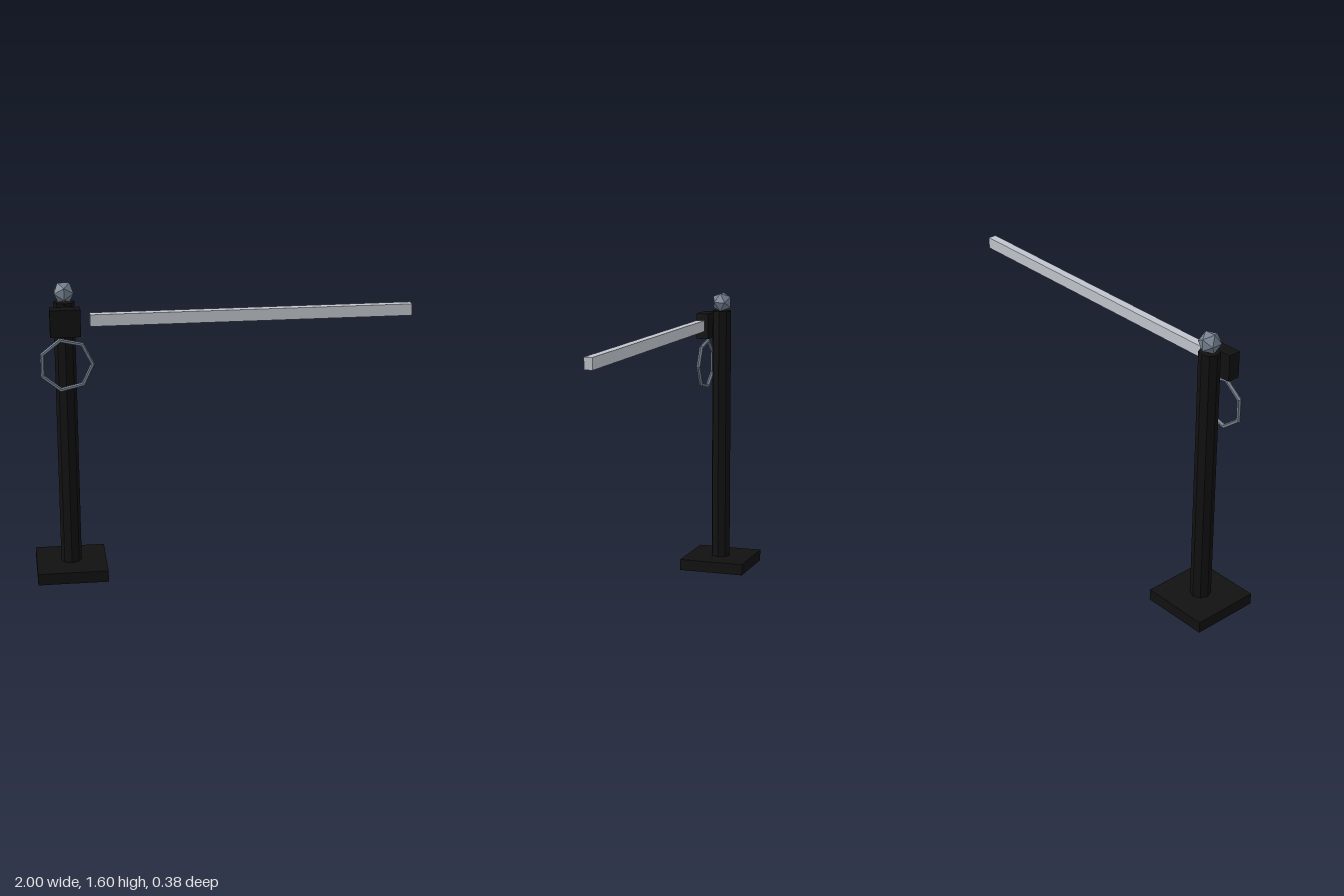
import * as THREE from 'three';

const mat = (name, color, flatShading = true) => {
  const m = new THREE.MeshStandardMaterial({ color, flatShading });
  m.name = name;
  return m;
};

export function createModel() {
  const group = new THREE.Group();
  const black = mat('black iron', 0x111111);
  const steel = mat('dark steel', 0x748090);
  const silver = mat('pale silver', 0xc0c4cc);
  const postX = -0.8125;

  const add = (name, geometry, material, x, y, z) => {
    const mesh = new THREE.Mesh(geometry, material);
    mesh.name = name;
    mesh.position.set(x, y, z);
    group.add(mesh);
    return mesh;
  };

  // Square foot and upright post
  add('base', new THREE.BoxGeometry(0.375, 0.063, 0.375), black, postX, 0.0315, 0);
  add('post', new THREE.CylinderGeometry(0.055, 0.055, 1.44, 8), black, postX, 0.78, 0);

  // Faceted ball on top
  add('finial', new THREE.IcosahedronGeometry(0.0595, 0), steel, postX, 1.549, 0);

  // Pivot housing on the front of the post, with the long arm beside it
  add('pivotBox', new THREE.BoxGeometry(0.157, 0.143, 0.069), black, postX, 1.414, 0.093);
  add('barrierArm', new THREE.BoxGeometry(1.685, 0.062, 0.045), silver, 0.1575, 1.422, 0.086);

  // Seven-sided ring hanging under the housing
  add('ring', new THREE.TorusGeometry(0.136, 0.012, 6, 7), steel, postX, 1.187, 0.095);

  return group;
}
